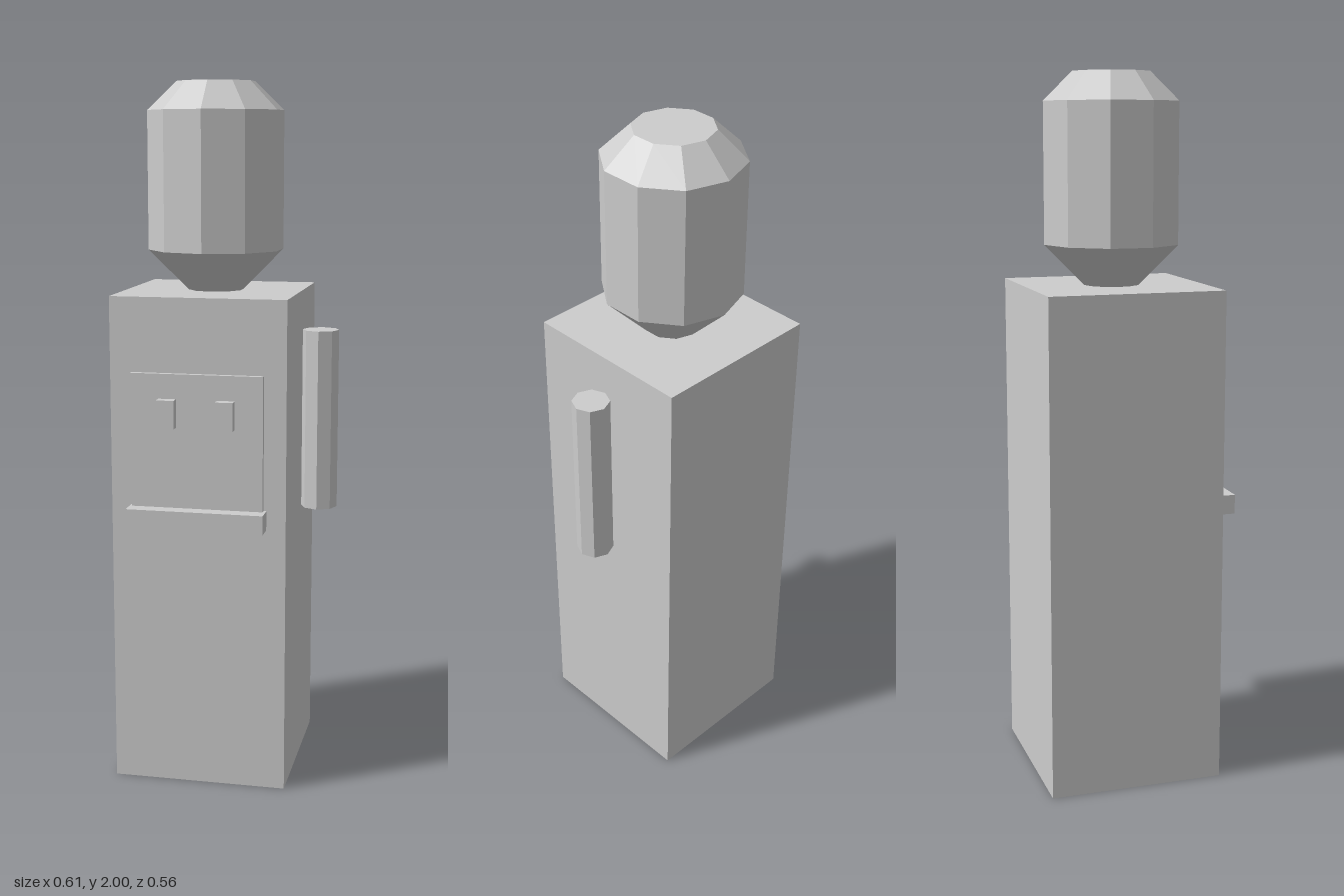
import * as THREE from 'three';

export function createModel() {
  const root = new THREE.Group();
  root.name = 'waterCooler';

  const grey = new THREE.MeshStandardMaterial({ color: 0xcccccc, flatShading: true });
  grey.name = 'light grey';

  const CX = -0.055, CZ = -0.03; // axis of cabinet and bottle

  function add(name, geometry, x, y, z) {
    const mesh = new THREE.Mesh(geometry, grey);
    mesh.name = name;
    mesh.position.set(x, y, z);
    root.add(mesh);
  }

  // Box given by its minimum and maximum corners
  function addBox(name, [x0, y0, z0], [x1, y1, z1]) {
    add(name, new THREE.BoxGeometry(x1 - x0, y1 - y0, z1 - z0),
      (x0 + x1) / 2, (y0 + y1) / 2, (z0 + z1) / 2);
  }

  // Cabinet
  addBox('cabinet', [-0.305, 0, -0.28], [0.195, 1.415, 0.22]);

  // Ten-sided bottle: neck, barrel and shoulder, closed at both ends
  const profile = [[0, 1.415], [0.08, 1.415], [0.195, 1.53], [0.195, 1.92], [0.1115, 2], [0, 2]]
    .map(([r, y]) => new THREE.Vector2(r, y));
  add('bottle', new THREE.LatheGeometry(profile, 10), CX, 0, CZ);

  // Front panel, drip tray and the two taps
  addBox('frontPanel', [-0.243, 0.8, 0.21], [0.132, 1.205, 0.235]);
  addBox('dripTray', [-0.25, 0.77, 0.21], [0.14, 0.825, 0.277]);
  for (const [name, side] of [['rightTap', -1], ['leftTap', 1]]) {
    const x = CX + side * 0.083;
    addBox(name, [x - 0.025, 1.055, 0.23], [x + 0.025, 1.135, 0.263]);
  }

  // Cup dispenser tube beside the cabinet
  add('cupDispenser', new THREE.CylinderGeometry(0.0525, 0.0525, 0.52, 8), 0.2515, 1.045, CZ);

  return root;
}
